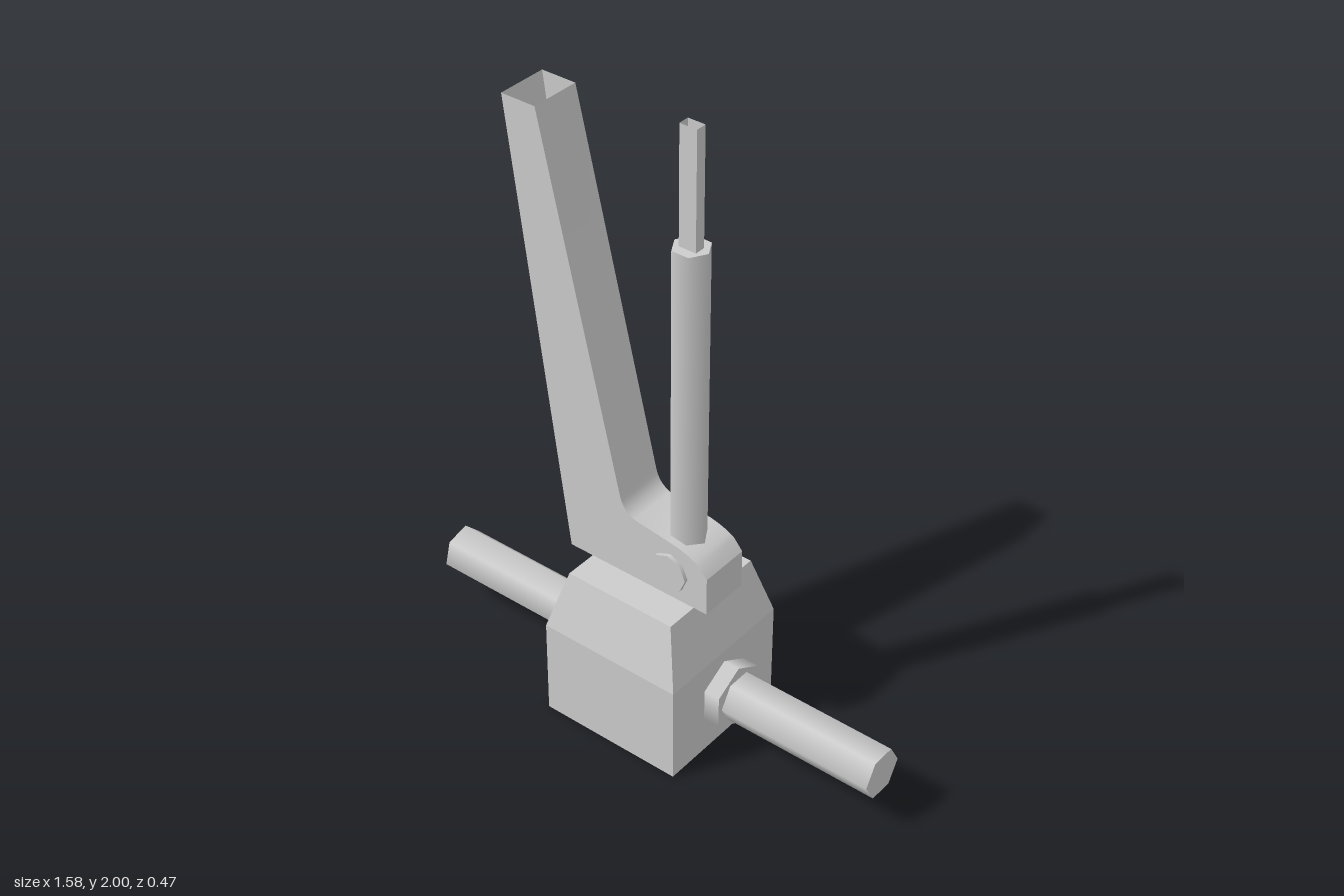
import * as THREE from 'three';
import { toCreasedNormals } from 'three/addons/utils/BufferGeometryUtils.js';
import { ConvexGeometry } from 'three/addons/geometries/ConvexGeometry.js';

const smooth = new THREE.MeshStandardMaterial({ color: 0xcccccc, side: THREE.DoubleSide });
const flat = new THREE.MeshStandardMaterial({ color: 0xcccccc, side: THREE.DoubleSide, flatShading: true });

export function createModel() {
  const group = new THREE.Group();
  const add = (name, geometry, material, x = 0, y = 0, z = 0) => {
    const mesh = new THREE.Mesh(geometry, material);
    mesh.name = name;
    mesh.position.set(x, y, z);
    group.add(mesh);
    return mesh;
  };
  // prism along y with a chosen number of sides and turn
  const prism = (radius, length, sides, turn = 0, open = false) =>
    new THREE.CylinderGeometry(radius, radius, length, sides, 1, open, turn);

  // block with a tapered top
  const corners = [];
  for (const [half, y] of [[0.236, 0], [0.236, 0.32], [0.185, 0.51]])
    for (const sx of [-1, 1]) for (const sz of [-1, 1])
      corners.push(new THREE.Vector3(sx * half, y, sz * half));
  add('body', new ConvexGeometry(corners), flat);

  // side shafts with hexagonal collars
  for (const side of [-1, 1]) {
    const name = side > 0 ? 'left' : 'right';
    const collar = prism(0.106, 0.1, 6, Math.PI / 6).rotateZ(-Math.PI / 2);
    add(name + 'Collar', collar, smooth, side * 0.238, 0.175);
    const shaft = prism(0.077, 0.59, 6, side > 0 ? 0 : Math.PI / 12).rotateZ(-Math.PI / 2);
    add(name + 'Shaft', shaft, smooth, side * 0.497, 0.175);
  }

  // hollow lever, open at its top end
  const top = 1.92, width = 0.162;
  const profile = new THREE.Shape();
  profile.moveTo(-0.265, 0.51);
  profile.lineTo(0.23, 0.51);
  profile.lineTo(0.23, 0.635);
  profile.lineTo(0.2, 0.67);
  profile.quadraticCurveTo(0.16, 0.695, 0.1, 0.702);
  profile.lineTo(-0.03, 0.72);
  profile.quadraticCurveTo(-0.07, 0.735, -0.08, 0.78);
  profile.lineTo(-0.35, top);
  profile.lineTo(-0.465, top);
  profile.closePath();
  const solid = new THREE.ExtrudeGeometry(profile, { depth: width, bevelEnabled: false, curveSegments: 5 });
  const source = solid.getAttribute('position');
  const kept = [];
  for (let i = 0; i < source.count; i += 3) {
    const onTop = [0, 1, 2].every((k) => source.getY(i + k) > top - 0.001);
    if (!onTop) kept.push(...source.array.slice(i * 3, i * 3 + 9));
  }
  const shell = new THREE.BufferGeometry();
  shell.setAttribute('position', new THREE.Float32BufferAttribute(kept, 3));
  shell.translate(0, 0, -width / 2);
  add('lever', toCreasedNormals(shell, 0.55), smooth);

  // pivot pin through the lever foot
  add('pivotPin', prism(0.062, 0.186, 8).rotateX(Math.PI / 2), smooth, 0.1, 0.6, 0);

  // upright sleeve and the thin hollow rod inside it
  add('sleeve', prism(0.056, 1.0, 6, Math.PI / 6), smooth, 0.109, 1.14, 0.008);
  const rod = prism(Math.SQRT1_2, 0.4, 4, Math.PI / 4, true).scale(0.056, 1, 0.034);
  add('rod', rod, flat, 0.11, 1.8, 0.01);

  return group;
}
